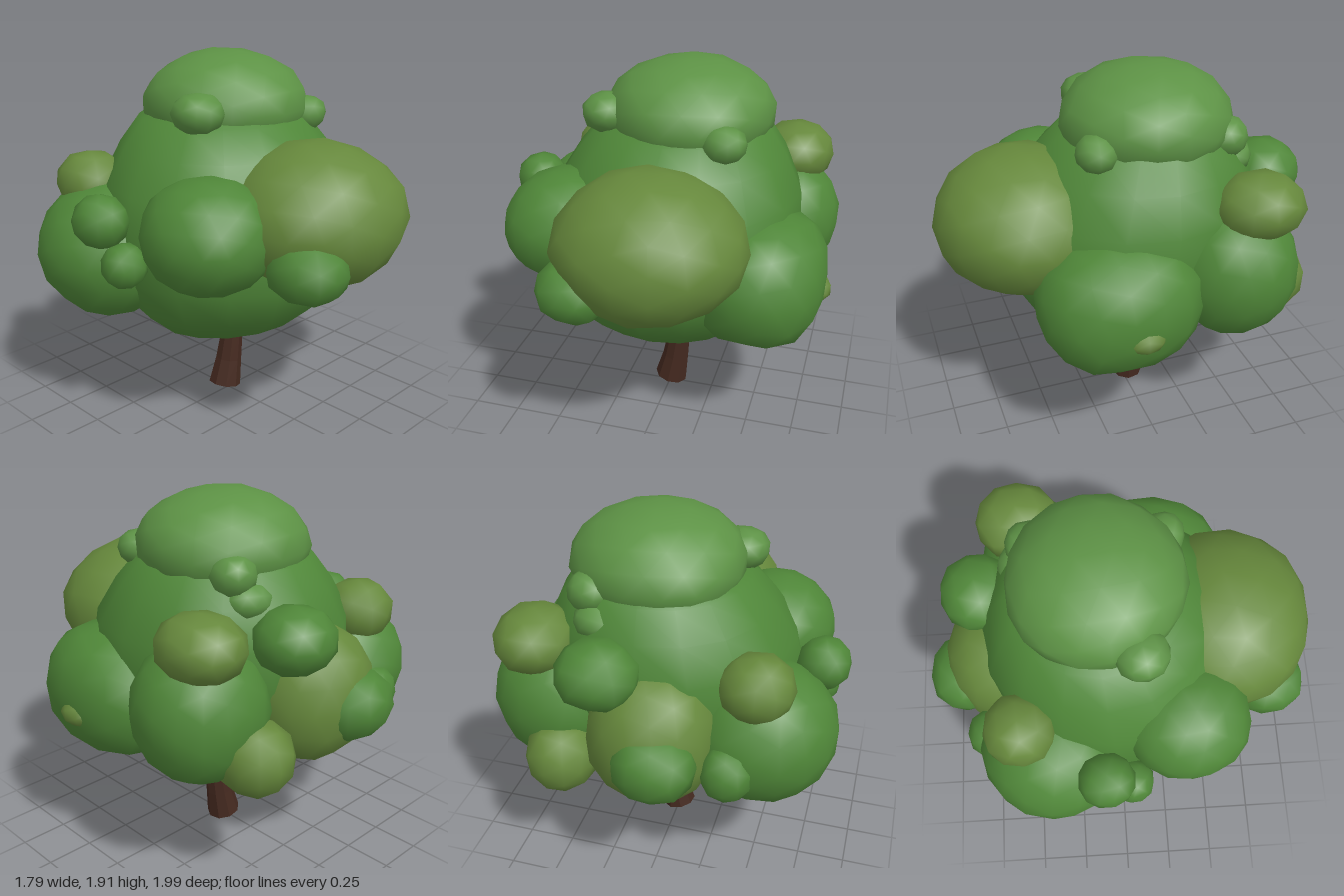
import * as THREE from 'three';
import { mergeVertices } from 'three/addons/utils/BufferGeometryUtils.js';

const material = (color, flatShading = false) =>
  new THREE.MeshStandardMaterial({ color, flatShading });

// Rounded, slightly lumpy clump of leaves; power above 2 makes it boxier
function clumpGeometry([rx, ry, rz], seed, detail, power) {
  let geo = new THREE.IcosahedronGeometry(1, detail);
  geo.deleteAttribute('uv');
  geo.deleteAttribute('normal');
  geo = mergeVertices(geo, 1e-4);
  geo.rotateY(seed * 1.7);
  const p = geo.attributes.position;
  const v = new THREE.Vector3();
  for (let i = 0; i < p.count; i++) {
    v.fromBufferAttribute(p, i);
    const norm = Math.pow(
      Math.abs(v.x) ** power + Math.abs(v.y) ** power + Math.abs(v.z) ** power, -1 / power);
    const lump = 1.015 + 0.02 * Math.sin(4 * v.x + seed) * Math.cos(3 * v.y - 2 * v.z + seed * 2);
    v.multiplyScalar(norm * lump);
    p.setXYZ(i, v.x * rx, v.y * ry, v.z * rz);
  }
  geo.computeVertexNormals();
  return geo;
}

// Central crown: turned profile, wide in the middle and tapering upwards
function crownGeometry() {
  const profile = [[0, 0.425], [0.2, 0.435], [0.4, 0.48], [0.56, 0.62], [0.65, 0.82], [0.68, 1.05],
    [0.65, 1.26], [0.55, 1.44], [0.44, 1.58], [0.25, 1.66], [0, 1.68]];
  let geo = new THREE.LatheGeometry(profile.map(([r, y]) => new THREE.Vector2(r, y)), 16);
  geo.deleteAttribute('uv');
  geo.deleteAttribute('normal');
  geo = mergeVertices(geo, 1e-4);
  const p = geo.attributes.position;
  for (let i = 0; i < p.count; i++) {
    const y = p.getY(i);
    const z = p.getZ(i);
    const shift = Math.max(0, y - 0.9);
    // The underside rises towards front and back
    const rise = 0.2 * Math.abs(z) * Math.max(0, 1 - y);
    p.setXYZ(i, p.getX(i) + 0.08 * shift, y + rise, z - 0.14 * shift);
  }
  geo.computeVertexNormals();
  return geo;
}

// Curved trunk with a flared, slanted foot
function trunkGeometry() {
  const height = 0.6;
  const geo = new THREE.CylinderGeometry(1, 1, height, 9, 4);
  const p = geo.attributes.position;
  for (let i = 0; i < p.count; i++) {
    const t = THREE.MathUtils.clamp(p.getY(i) / height + 0.5, 0, 1);
    const r = 0.057 + 0.033 * (1 - t) ** 2.5;
    const x = p.getX(i) * r;
    const z = p.getZ(i) * r;
    p.setXYZ(i, x + 0.065 * (1 - (1 - t) ** 2), 0.02 + t * height - 0.22 * x * (1 - t),
      z - 0.03 + 0.015 * t);
  }
  geo.computeVertexNormals();
  return geo;
}

export function createModel() {
  const group = new THREE.Group();
  const green = material(0x4f8638);
  const lightGreen = material(0x5d9245);
  const olive = material(0x66883c);

  const add = (name, geo, mat, pos = [0, 0, 0]) => {
    const mesh = new THREE.Mesh(geo, mat);
    mesh.name = name;
    mesh.position.set(...pos);
    group.add(mesh);
  };

  add('trunk', trunkGeometry(), material(0x44291f, true));
  add('crown', crownGeometry(), green);

  // Leaf clumps: name, material, centre, radii, boxiness
  const clumps = [
    ['topClump', lightGreen, [0.08, 1.63, -0.1], [0.43, 0.28, 0.43], 2],
    ['frontClump', olive, [0.05, 1.17, 0.54], [0.47, 0.36, 0.45], 2],
    ['frontLowerClump', green, [-0.25, 1.01, 0.76], [0.18, 0.15, 0.19], 2.4],
    ['frontRightClump', green, [-0.45, 1.12, 0.31], [0.32, 0.28, 0.33], 2.1],
    ['frontLeftClump', green, [0.52, 0.9, 0.2], [0.34, 0.33, 0.4], 2.4],
    ['backRightClump', green, [-0.52, 0.91, -0.36], [0.37, 0.35, 0.38], 2.05],
    ['backLeftClump', green, [0.52, 0.97, -0.4], [0.33, 0.35, 0.32], 2.1],
    ['backClump', olive, [-0.03, 0.96, -0.58], [0.31, 0.34, 0.32], 2.4],
    ['backOuterClump', green, [-0.1, 0.94, -0.82], [0.2, 0.17, 0.18], 2.3],
    ['backUpperClump', green, [0.2, 1.31, -0.7], [0.2, 0.16, 0.19], 2.2],
    ['backLowerClump', olive, [0.42, 0.78, -0.67], [0.18, 0.18, 0.19], 2.2],
    ['leftShoulderClump', olive, [0.59, 1.32, -0.49], [0.2, 0.16, 0.22], 2.2],
    ['rightShoulderClump', olive, [-0.51, 1.24, -0.51], [0.18, 0.16, 0.18], 2.2],
    ['rightSideClump', green, [-0.77, 1.17, -0.1], [0.13, 0.13, 0.14], 2.2],
    ['rightSideBud', green, [-0.74, 0.97, 0.03], [0.11, 0.11, 0.11], 2.2],
    ['leftSideBud', olive, [0.76, 0.85, 0.17], [0.13, 0.09, 0.13], 1.8],
    ['backRightBud', green, [-0.42, 0.86, -0.69], [0.13, 0.14, 0.13], 2.2],
    ['topRightBud', lightGreen, [-0.3, 1.65, 0.09], [0.13, 0.1, 0.13], 2.2],
    ['topFrontBud', lightGreen, [0.33, 1.59, 0.24], [0.11, 0.09, 0.1], 2.2],
    ['topBackBud', lightGreen, [0.32, 1.58, -0.42], [0.11, 0.1, 0.11], 2.2],
    ['topBackLowerBud', lightGreen, [0.27, 1.46, -0.46], [0.12, 0.09, 0.12], 2.2],
  ];
  clumps.forEach(([name, mat, pos, radii, power], i) =>
    add(name, clumpGeometry(radii, i + 1, radii[0] > 0.25 ? 2 : 1, power), mat, pos));

  return group;
}
